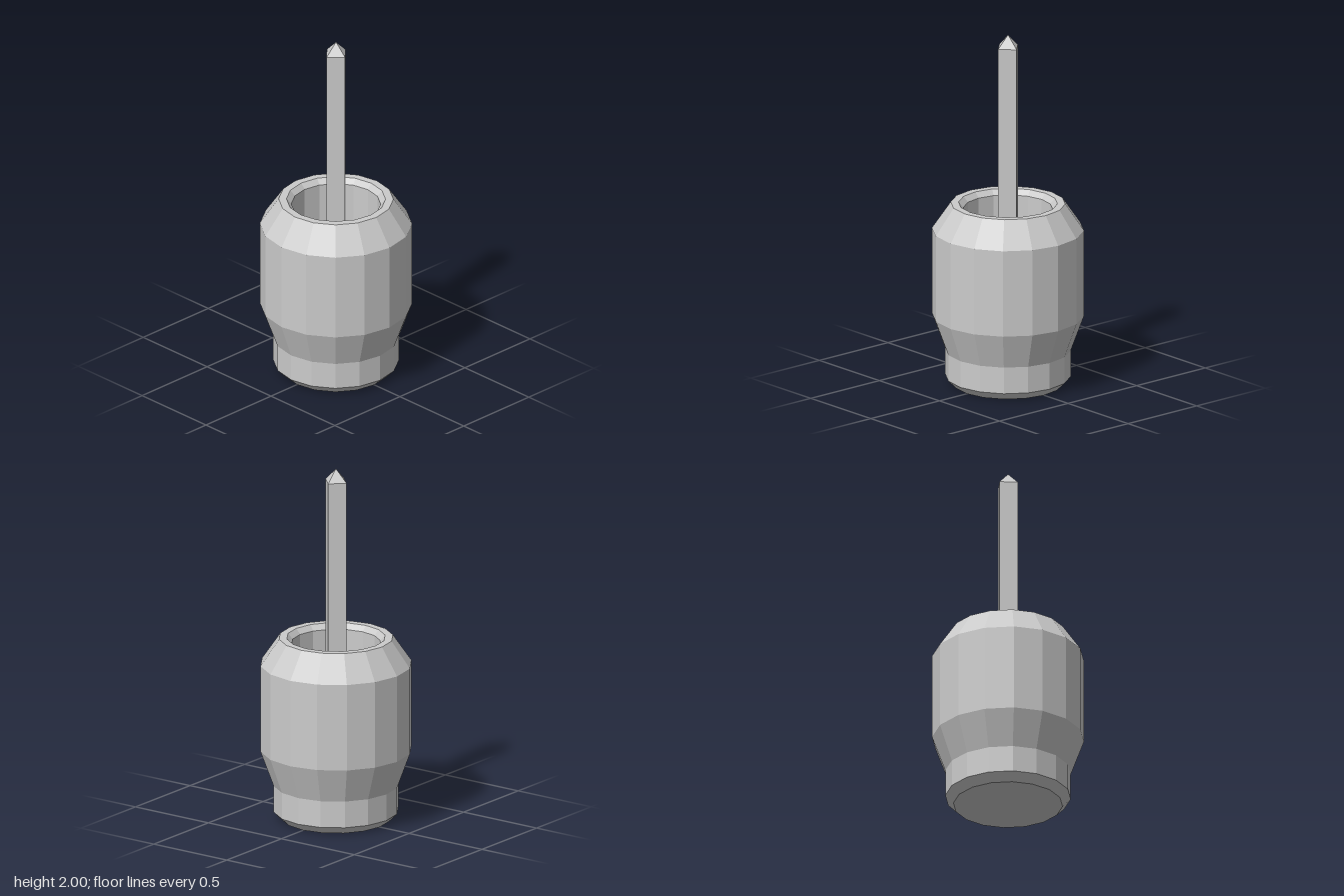
import * as THREE from 'three';
import { ConvexGeometry } from 'three/addons/geometries/ConvexGeometry.js';

export function createModel() {
  const group = new THREE.Group();
  const material = new THREE.MeshStandardMaterial({ color: 0xcccccc, flatShading: true });
  const add = (name, geometry, y = 0) => {
    const mesh = new THREE.Mesh(geometry, material);
    mesh.name = name;
    mesh.position.y = y;
    group.add(mesh);
  };

  // Sixteen-sided holder: outside from the base up, over the rim, down to the inner floor
  const profile = [
    [0, 0], [0.3, 0], [0.345, 0.045], [0.345, 0.195], [0.418, 0.395],
    [0.418, 0.885], [0.315, 1.035], [0.272, 1.035], [0.245, 1.005],
    [0.245, 0.08], [0, 0.08],
  ].map(([r, y]) => new THREE.Vector2(r, y));
  add('holder', new THREE.LatheGeometry(profile, 16));

  // Bevelled brush head: chamfered block with a pointed shoulder that meets the handle
  const a = 0.14, b = 0.203, points = [];
  const point = (x, y, z) => points.push(new THREE.Vector3(x, y, z));
  for (const sx of [-1, 1]) {
    for (const sz of [-1, 1]) {
      for (const y of [0.16, 0.45]) {
        point(sx * b, y, sz * a);
        point(sx * a, y, sz * b);
      }
      point(sx * a, 0.09, sz * a);
      point(sx * a, 0.53, sz * a);
    }
    point(sx * 0.072, 0.6, 0);
    point(0, 0.6, sx * 0.072);
  }
  add('brushHead', new ConvexGeometry(points));

  // Square handle, turned corner-on, with a pyramid tip
  add('handle', new THREE.CylinderGeometry(0.072, 0.072, 1.35, 4, 1, true), 1.255);
  add('handleTip', new THREE.ConeGeometry(0.072, 0.07, 4, 1, true), 1.965);

  return group;
}
